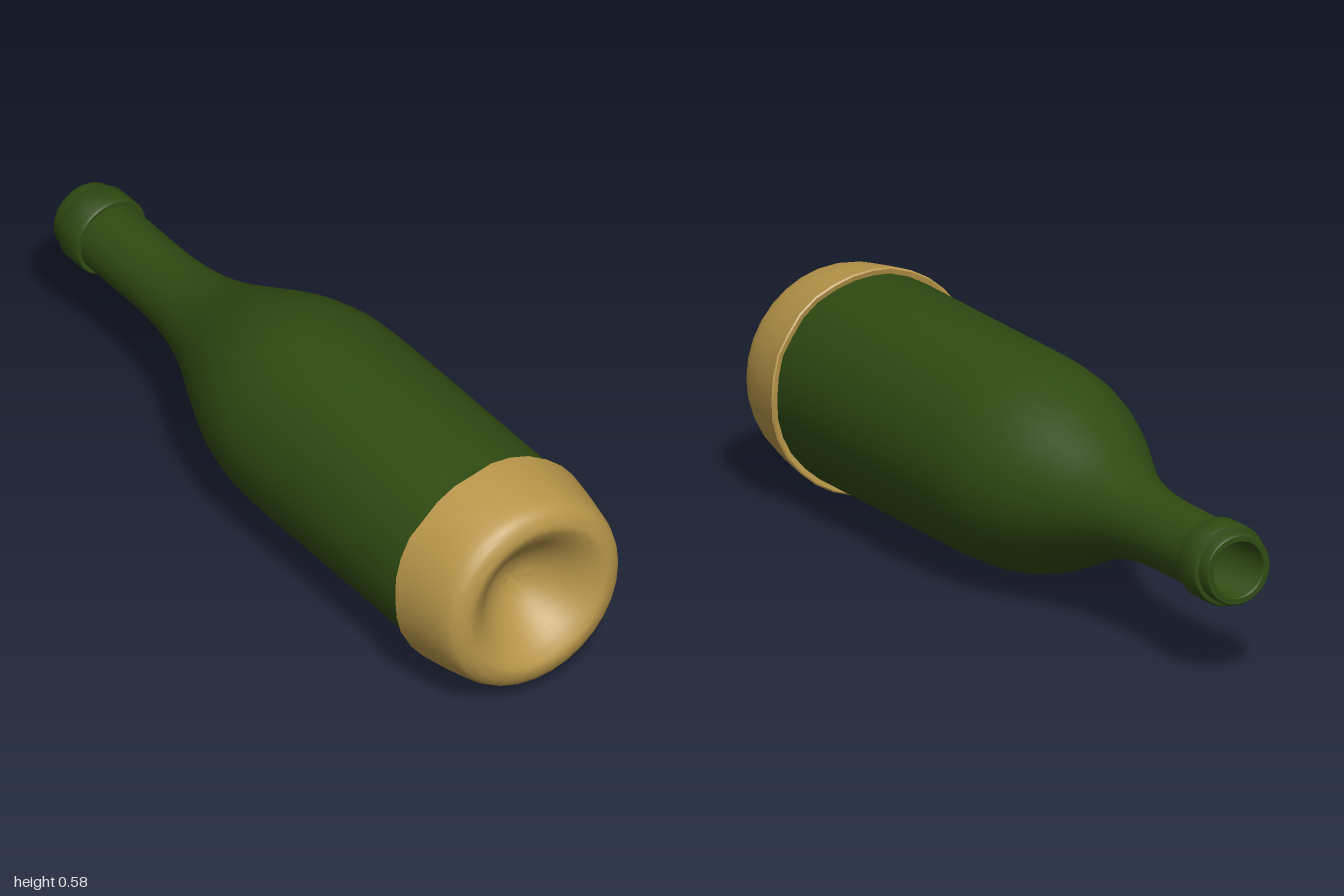
import * as THREE from 'three';
import { toCreasedNormals } from 'three/addons/utils/BufferGeometryUtils.js';

const SIDES = 32;
const AXIS_Y = 0.293;
const glass = new THREE.MeshStandardMaterial({ color: 0x2f4a12 });
const gold = new THREE.MeshStandardMaterial({ color: 0xb8964a });

// Points are [radius, z]; the lathe axis is laid down along -z.
const toVectors = (points) => points.map(([r, z]) => new THREE.Vector2(r, -z));
const smooth = (points, n) => new THREE.SplineCurve(toVectors(points)).getPoints(n);

function layDown(geometry, material, name, crease) {
  geometry.rotateX(-Math.PI / 2);
  const mesh = new THREE.Mesh(toCreasedNormals(geometry, crease), material);
  mesh.name = name;
  mesh.position.y = AXIS_Y;
  return mesh;
}

function createBottle() {
  const shoulder = [[0.275, 0.12], [0.27, 0], [0.253, -0.1], [0.22, -0.2], [0.177, -0.3],
    [0.135, -0.4], [0.108, -0.5], [0.095, -0.6], [0.092, -0.68]];
  const inside = shoulder.map(([r, z]) => [r - 0.022, z]).reverse();
  const profile = [
    // hidden base with a hollow
    ...toVectors([[0, 0.83], [0.1, 0.87], [0.2, 0.93], [0.25, 0.93], [0.268, 0.89], [0.275, 0.84]]),
    ...smooth(shoulder, 28),
    // collar and lip
    ...toVectors([[0.092, -0.875], [0.102, -0.875], [0.106, -0.882], [0.106, -0.952], [0.102, -0.96],
      [0.092, -0.962], [0.092, -0.995], [0.088, -1], [0.074, -1], [0.07, -0.995]]),
    // inner wall and floor
    ...smooth(inside, 28),
    ...toVectors([[0.253, 0.84], [0.2, 0.88], [0.1, 0.83], [0, 0.79]]),
  ];
  return layDown(new THREE.LatheGeometry(profile, SIDES), glass, 'bottle', 0.7);
}

function createBaseFoil() {
  const punt = [[0, 0.87], [0.05, 0.885], [0.1, 0.92], [0.15, 0.968], [0.18, 0.99], [0.205, 1],
    [0.235, 0.991], [0.255, 0.973], [0.267, 0.94]];
  const profile = [
    ...smooth(punt, 24),
    ...toVectors([[0.277, 0.89], [0.285, 0.84], [0.292, 0.792], [0.288, 0.789], [0.272, 0.793]]),
  ];
  const geometry = new THREE.LatheGeometry(profile, SIDES);
  // uneven torn rim
  const p = geometry.attributes.position;
  for (let i = 0; i < p.count; i++) {
    const fade = THREE.MathUtils.smoothstep(p.getY(i), -0.85, -0.79);
    if (fade === 0) continue;
    const a = Math.atan2(p.getZ(i), p.getX(i));
    const wave = Math.sin(5 * a + 1) + 0.7 * Math.sin(9 * a + 2) + 0.6 * Math.sin(13 * a);
    p.setY(i, p.getY(i) + 0.0035 * fade * wave);
  }
  return layDown(geometry, gold, 'baseFoil', 0.8);
}

export function createModel() {
  const group = new THREE.Group();
  group.name = 'bottleOnItsSide';
  group.add(createBottle(), createBaseFoil());
  return group;
}
